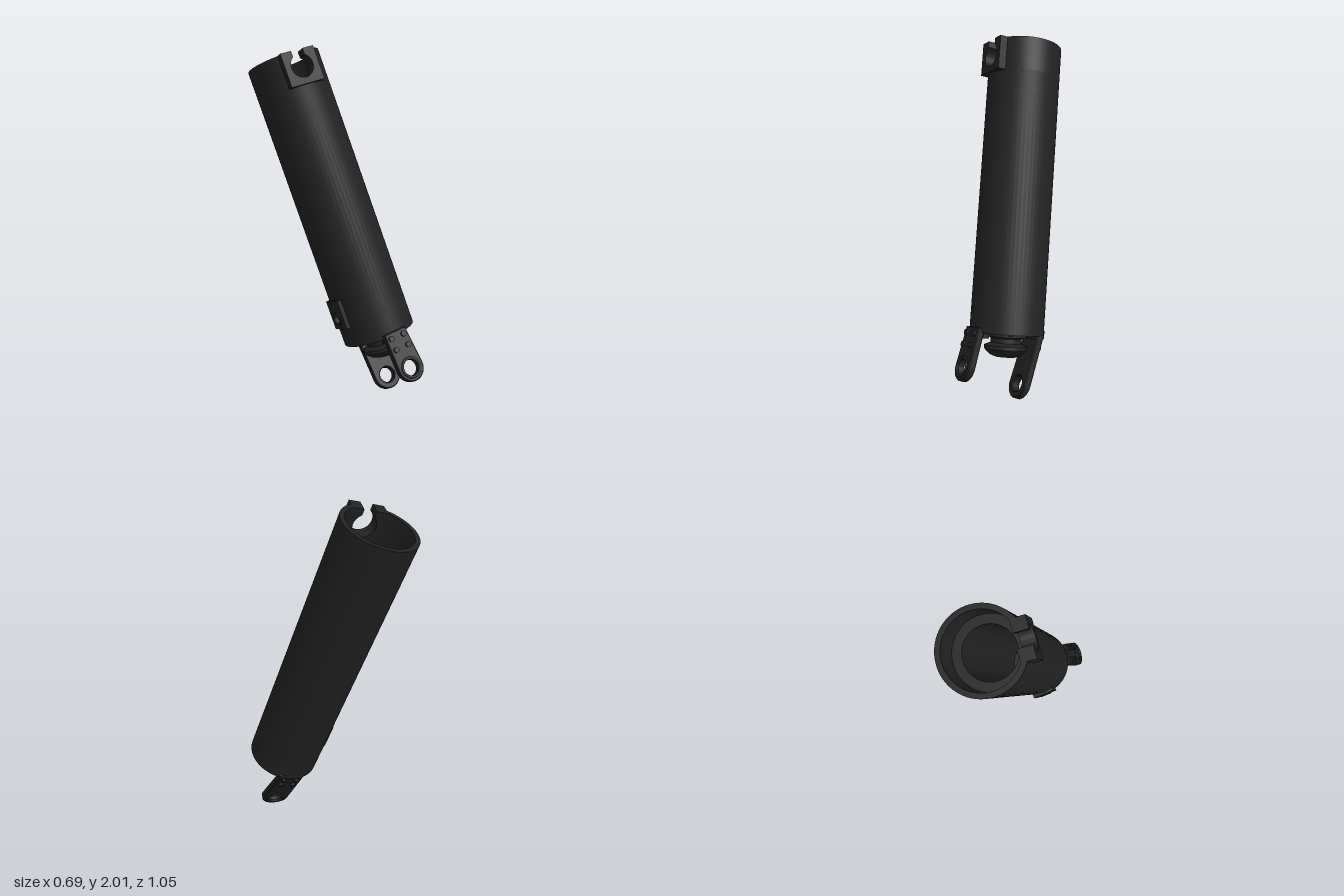
import * as THREE from 'three';
import { toCreasedNormals } from 'three/addons/utils/BufferGeometryUtils.js';

const R = 0.21, LEN = 1.66, COLLAR = 0.19;
const material = new THREE.MeshStandardMaterial({ color: 0x222222, side: THREE.DoubleSide });

function part(parent, name, geometry, x = 0, y = 0, z = 0) {
  const mesh = new THREE.Mesh(geometry, material);
  mesh.name = name;
  mesh.position.set(x, y, z);
  parent.add(mesh);
  return mesh;
}

// Turned part from [radius, height] pairs
function turned(points, segments = 48) {
  return toCreasedNormals(new THREE.LatheGeometry(points.map(p => new THREE.Vector2(...p)), segments), 0.5);
}

function extruded(shape, depth, bevel = 0) {
  const g = new THREE.ExtrudeGeometry(shape, {
    depth, curveSegments: 40, bevelEnabled: bevel > 0,
    bevelSize: bevel, bevelThickness: bevel, bevelOffset: -bevel, bevelSegments: 1,
  });
  return toCreasedNormals(g, 0.5);
}

function circleHole(shape, x, y, r) {
  shape.holes.push(new THREE.Path().absarc(x, y, r, 0, Math.PI * 2, true));
}

// Lug plate: hangs down from its top edge, rounded eye at the lower end
function lug(name, length, width) {
  const group = new THREE.Group();
  group.name = name;
  const w = width / 2;
  const shape = new THREE.Shape();
  shape.moveTo(w * 0.9, 0.03);
  shape.lineTo(-w * 0.9, 0.03);
  shape.lineTo(-w, -length);
  shape.absarc(0, -length, w, Math.PI, Math.PI * 2, false);
  shape.lineTo(w * 0.9, 0.03);
  circleHole(shape, 0, -length, 0.045);
  part(group, name + 'Plate', extruded(shape, 0.032, 0.006), 0, 0, -0.02);
  // Raised ring around the eye
  part(group, name + 'EyeRing', new THREE.TorusGeometry(0.052, 0.008, 8, 32), 0, -length, 0.018);
  // Two rows of bolts
  for (const x of [-0.04, 0.04]) for (const y of [-0.005, -0.07]) {
    const bolt = part(group, name + 'Bolt', new THREE.CylinderGeometry(0.016, 0.016, 0.015, 16), x, y, 0.024);
    bolt.rotation.x = Math.PI / 2;
  }
  return group;
}

export function createModel() {
  const model = new THREE.Group();
  model.name = 'tubeStrut';

  // Leaning frame: local y runs up the tube, local z points at the port
  const up = new THREE.Vector3(-0.165, 0.938, -0.304).normalize();
  const front = new THREE.Vector3(-0.36, 0.23, 0.92);
  front.addScaledVector(up, -front.dot(up)).normalize();
  const side = new THREE.Vector3().crossVectors(up, front);
  const strut = new THREE.Group();
  strut.name = 'strut';
  strut.quaternion.setFromRotationMatrix(new THREE.Matrix4().makeBasis(side, up, front));
  strut.position.set(0.138, 0.372, 0.18);
  model.add(strut);

  // Long hollow body with a ledge just below the collar
  part(strut, 'body', turned([
    [0.1, 0.015], [0.195, 0.015], [0.2, 0], [R, 0], [R, LEN - COLLAR],
    [0.135, LEN - COLLAR], [0.135, 0.1], [0.1, 0.1], [0.1, 0.015],
  ], 56));

  // Collar, open where the port sits
  const gap = 0.44, c = -Math.PI / 2;
  const ring = new THREE.Shape();
  ring.absarc(0, 0, R, c + gap, c + Math.PI * 2 - gap, false);
  ring.absarc(0, 0, 0.183, c + Math.PI * 2 - gap, c + gap, true);
  const collar = extruded(ring, COLLAR);
  collar.rotateX(-Math.PI / 2);
  part(strut, 'collar', collar, 0, LEN - COLLAR, 0);

  // Port block with a round opening slotted through the top
  const port = new THREE.Shape();
  port.moveTo(-0.1, 0);
  port.lineTo(0.1, 0);
  port.lineTo(0.1, 0.19);
  port.lineTo(0.035, 0.19);
  port.absarc(0, 0.1, 0.065, 1.0, Math.PI - 1.0, true);
  port.lineTo(-0.035, 0.19);
  port.lineTo(-0.1, 0.19);
  part(strut, 'portBlock', extruded(port, 0.075), 0, LEN - 0.19, 0.155);

  // Small side plate with a hole near the foot
  const plate = new THREE.Shape();
  plate.moveTo(-0.065, -0.085);
  plate.lineTo(0.065, -0.085);
  plate.lineTo(0.065, 0.085);
  plate.lineTo(-0.065, 0.085);
  circleHole(plate, 0, -0.02, 0.03);
  const mount = new THREE.Group();
  mount.name = 'sidePlateMount';
  mount.rotation.y = -1.45;
  strut.add(mount);
  part(mount, 'sidePlate', extruded(plate, 0.03), 0, 0.2, 0.195);
  part(mount, 'sidePlateRing', new THREE.TorusGeometry(0.034, 0.006, 8, 24), 0, 0.18, 0.225);

  // Knob under the foot
  part(strut, 'knob', turned([
    [0, 0.03], [0.115, 0.03], [0.115, -0.02], [0.088, -0.03], [0.088, -0.055],
    [0.122, -0.07], [0.122, -0.09], [0.09, -0.12], [0.06, -0.132], [0, -0.132],
  ], 32));

  // Bolts around the foot plate
  for (let i = 0; i < 8; i++) {
    const a = (i + 0.5) * Math.PI / 4;
    part(strut, 'footBolt', new THREE.CylinderGeometry(0.014, 0.014, 0.03, 12),
      Math.sin(a) * 0.158, 0.005, Math.cos(a) * 0.158);
  }

  // Two parallel, slanted lugs on opposite edges of the foot
  const frontLug = lug('frontLug', 0.19, 0.155);
  frontLug.position.set(0, -0.005, 0.21);
  frontLug.rotation.x = -0.22;
  const backLug = lug('backLug', 0.29, 0.165);
  backLug.position.set(0, -0.005, -0.19);
  backLug.rotation.set(0.26, Math.PI, 0, 'YXZ');
  strut.add(frontLug, backLug);
  for (const s of [-1, 1]) {
    part(strut, 'lugFoot', new THREE.BoxGeometry(0.13, 0.05, 0.04), 0, -0.005, s * 0.17);
  }

  return model;
}
